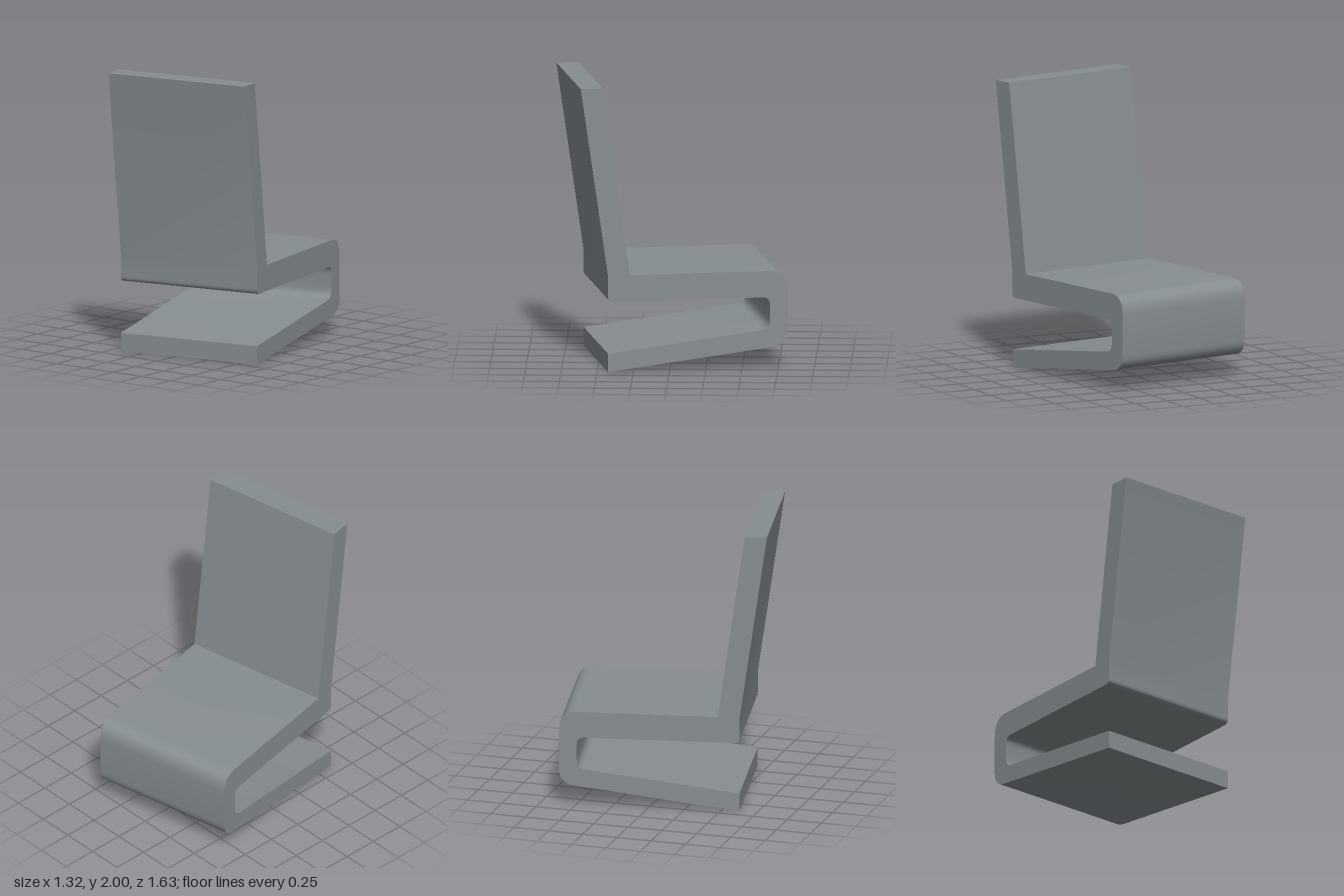
import * as THREE from 'three';
import { toCreasedNormals } from 'three/addons/utils/BufferGeometryUtils.js';

export function createModel() {
  const model = new THREE.Group();
  model.name = 'cantileverChair';

  const greyShell = new THREE.MeshStandardMaterial({ color: 0x868d91 });
  greyShell.name = 'greyShell';

  const width = 1.06;

  // Side profile of the folded slab: x is forward, y is up
  const profile = new THREE.Shape();
  // underside of the base and rounded rear fold
  profile.moveTo(0.535, 0);
  profile.lineTo(-0.62, 0.144);
  profile.bezierCurveTo(-0.69, 0.155, -0.727, 0.19, -0.727, 0.26);
  profile.lineTo(-0.727, 0.54);
  profile.bezierCurveTo(-0.727, 0.63, -0.69, 0.68, -0.61, 0.68);
  // seat top and backrest
  profile.lineTo(0.383, 0.68);
  profile.lineTo(0.572, 2);
  profile.lineTo(0.727, 2);
  profile.lineTo(0.536, 0.68);
  profile.lineTo(0.536, 0.535);
  profile.quadraticCurveTo(0.536, 0.495, 0.505, 0.495);
  // seat underside and inside of the fold
  profile.lineTo(-0.56, 0.495);
  profile.quadraticCurveTo(-0.603, 0.495, -0.603, 0.43);
  profile.lineTo(-0.603, 0.34);
  profile.quadraticCurveTo(-0.603, 0.27, -0.55, 0.264);
  // top of the base
  profile.lineTo(0.535, 0.13);
  profile.closePath();

  const slab = new THREE.ExtrudeGeometry(profile, {
    depth: width, bevelEnabled: false, curveSegments: 6,
  });
  slab.translate(0, 0, -width / 2);
  slab.rotateY(-Math.PI / 2);

  const chair = new THREE.Mesh(toCreasedNormals(slab, Math.PI / 6), greyShell);
  chair.name = 'foldedSeatShell';
  // the chair stands slightly turned
  chair.rotation.y = THREE.MathUtils.degToRad(11);
  model.add(chair);

  return model;
}
